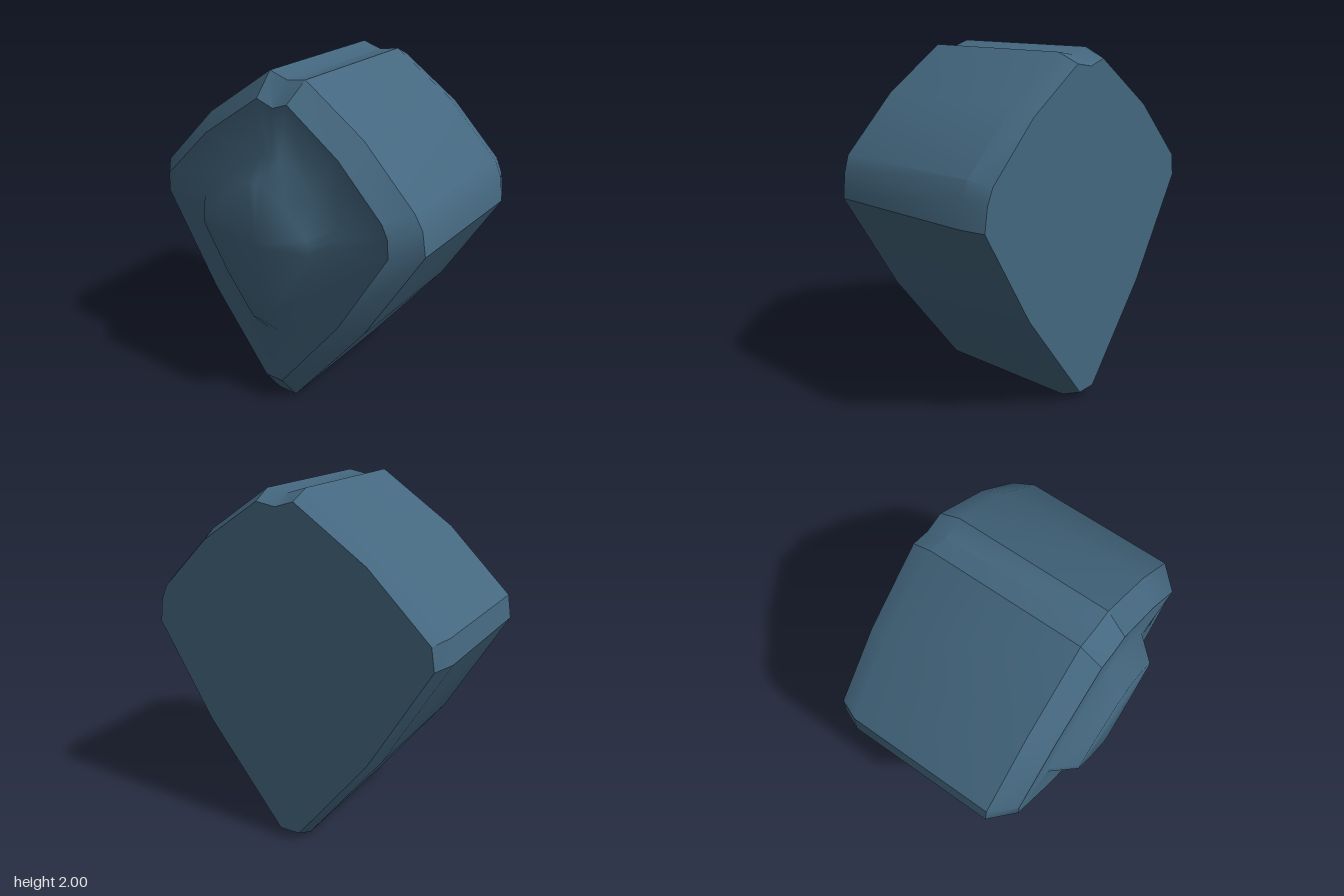
import * as THREE from 'three';
import { toCreasedNormals } from 'three/addons/utils/BufferGeometryUtils.js';

// Outer outline and front rim outline, clockwise seen from the front
const OUTLINE = [
  [-0.07, 2], [0.045, 1.965], [0.165, 1.985], [0.53, 1.74], [0.84, 1.43], [0.88, 1.34], [0.9, 1.2],
  [0.55, 0.62], [0.065, 0], [-0.065, 0], [-0.52, 0.57], [-0.9, 1.2], [-0.88, 1.335], [-0.51, 1.7],
];
const RIM = [
  [-0.06, 1.88], [0.045, 1.845], [0.14, 1.88], [0.46, 1.66], [0.73, 1.39], [0.755, 1.31], [0.76, 1.2],
  [0.46, 0.69], [0.06, 0.17], [-0.06, 0.17], [-0.44, 0.66], [-0.77, 1.2], [-0.76, 1.31], [-0.44, 1.62],
];

// The right shoulder of the front rim stands slightly proud
const BULGE = [0, 0, 0.005, 0.013, 0.02, 0.005];

const ring = (points, z, scale = 1, centerY = 1, bulge = 0) => points.map(([x, y], i) => [
  x * scale, centerY + (y - centerY) * scale, z + bulge * (BULGE[i] || 0),
]);

// Joins rings running from back to front, with optional end caps
function loft(rings, capBack, capFront, centerY) {
  const n = rings[0].length;
  const positions = rings.flat(2);
  const index = [];
  for (let k = 0; k < rings.length - 1; k++) {
    for (let i = 0; i < n; i++) {
      const j = (i + 1) % n;
      const a = k * n + i, b = k * n + j, c = b + n, d = a + n;
      index.push(a, d, c, a, c, b);
    }
  }
  const cap = (k, front) => {
    const center = positions.length / 3;
    positions.push(0, centerY, rings[k][0][2]);
    for (let i = 0; i < n; i++) {
      const a = k * n + i, b = k * n + (i + 1) % n;
      index.push(center, front ? b : a, front ? a : b);
    }
  };
  if (capBack) cap(0, false);
  if (capFront) cap(rings.length - 1, true);
  const geometry = new THREE.BufferGeometry();
  geometry.setAttribute('position', new THREE.Float32BufferAttribute(positions, 3));
  geometry.setIndex(index);
  geometry.computeVertexNormals();
  return geometry;
}

export function createModel() {
  const model = new THREE.Group();
  const slateBlue = new THREE.MeshStandardMaterial({ color: 0x44677f });
  slateBlue.name = 'slateBlue';

  const add = (name, geometry) => {
    const mesh = new THREE.Mesh(geometry, slateBlue);
    mesh.name = name;
    model.add(mesh);
  };

  // Thick body with bevelled back and front rims
  add('body', toCreasedNormals(loft([
    ring(OUTLINE, -0.63, 0.945),
    ring(OUTLINE, -0.51),
    ring(OUTLINE, 0.375, 1, 1, 1),
    ring(RIM, 0.5, 1, 1, 1),
  ], true, false, 1), 0.52));

  // Softly shaded front face rising to a small plateau
  add('frontFace', loft([
    ring(RIM, 0.5, 1, 1, 1),
    ring(RIM, 0.5, 0.63, 1.1),
    ring(RIM, 0.63, 0.48, 1.1),
  ], false, true, 1.1));

  return model;
}
